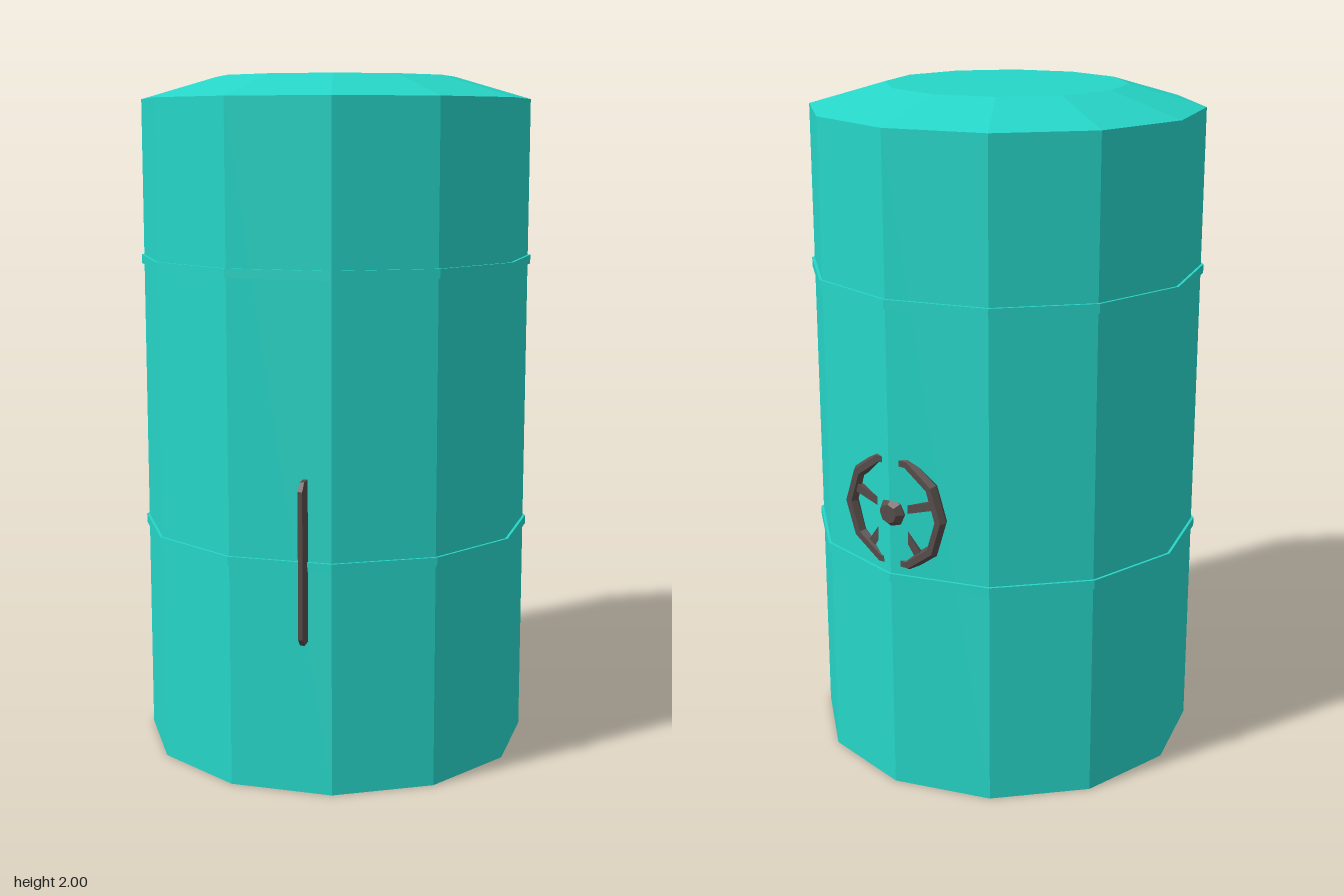
import * as THREE from 'three';

const SIDES = 12;
const CENTER_X = -0.017;

export function createModel() {
  const teal = new THREE.MeshStandardMaterial({ color: 0x26d6c8, flatShading: true, side: THREE.DoubleSide });
  teal.name = 'tealPaint';
  const iron = new THREE.MeshStandardMaterial({ color: 0x564d4a, flatShading: true });
  iron.name = 'darkIron';

  const model = new THREE.Group();
  model.name = 'tank';

  const add = (parent, name, geometry, material) => {
    const mesh = new THREE.Mesh(geometry, material);
    mesh.name = name;
    parent.add(mesh);
    return mesh;
  };
  const lathe = (points) => new THREE.LatheGeometry(
    points.map(([r, y]) => new THREE.Vector2(r, y)), SIDES, Math.PI / 12);

  const body = new THREE.Group();
  body.name = 'body';
  body.position.x = CENTER_X;
  model.add(body);

  // Twelve-sided shell, open underneath, with a sloped shoulder and flat top
  add(body, 'shell', lathe([[0.577, 0], [0.577, 1.935]]), teal);
  add(body, 'lid', lathe([[0.577, 1.935], [0.352, 2], [0, 2]]), teal);

  // Two slim raised bands
  for (const [name, y] of [['lowerBand', 0.66], ['upperBand', 1.463]]) {
    const h = 0.013;
    const band = lathe([[0.57, -h], [0.585, -h], [0.585, h], [0.57, h]]);
    add(body, name, band, teal).position.y = y;
  }

  // Dark drum standing inside the shell
  add(body, 'base', new THREE.CylinderGeometry(0.49, 0.49, 0.2, 24), iron).position.y = 0.103;

  // Valve wheel, half sunk into the ridge between two wall faces
  const wheel = new THREE.Group();
  wheel.name = 'valveWheel';
  wheel.position.set(0.516, 0.857, -0.146);
  wheel.rotation.y = THREE.MathUtils.degToRad(104.8);
  model.add(wheel);
  add(wheel, 'wheelRim', new THREE.TorusGeometry(0.159, 0.019, 6, 10), iron);
  const hub = new THREE.CylinderGeometry(0.028, 0.043, 0.018, 8).rotateX(Math.PI / 2);
  add(wheel, 'wheelHub', hub, iron).position.z = 0.027;
  const axle = new THREE.CylinderGeometry(0.043, 0.043, 0.04, 8).rotateX(Math.PI / 2);
  add(wheel, 'wheelAxle', axle, iron).position.z = -0.002;
  for (let i = 0; i < 5; i++) {
    const spoke = new THREE.BoxGeometry(0.13, 0.024, 0.02).translate(0.085, 0, 0);
    add(wheel, 'wheelSpoke', spoke, iron).rotation.z = Math.PI / 10 + i * Math.PI * 2 / 5;
  }

  // Thin upright handle plate with clipped outer corners
  const H = 0.23, cut = 0.022, depth = 0.1, thick = 0.013;
  const outline = new THREE.Shape([
    [-depth, -H], [-cut, -H], [0, -H + cut], [0, H - cut], [-cut, H], [-depth, H],
  ].map(([x, y]) => new THREE.Vector2(x, y)));
  const plate = new THREE.ExtrudeGeometry(outline, { depth: thick, bevelEnabled: false });
  plate.translate(0, 0, -thick / 2);
  const handle = add(model, 'handle', plate, iron);
  handle.position.set(-0.514, 0.675, 0.377);
  handle.rotation.y = THREE.MathUtils.degToRad(-147);

  return model;
}
